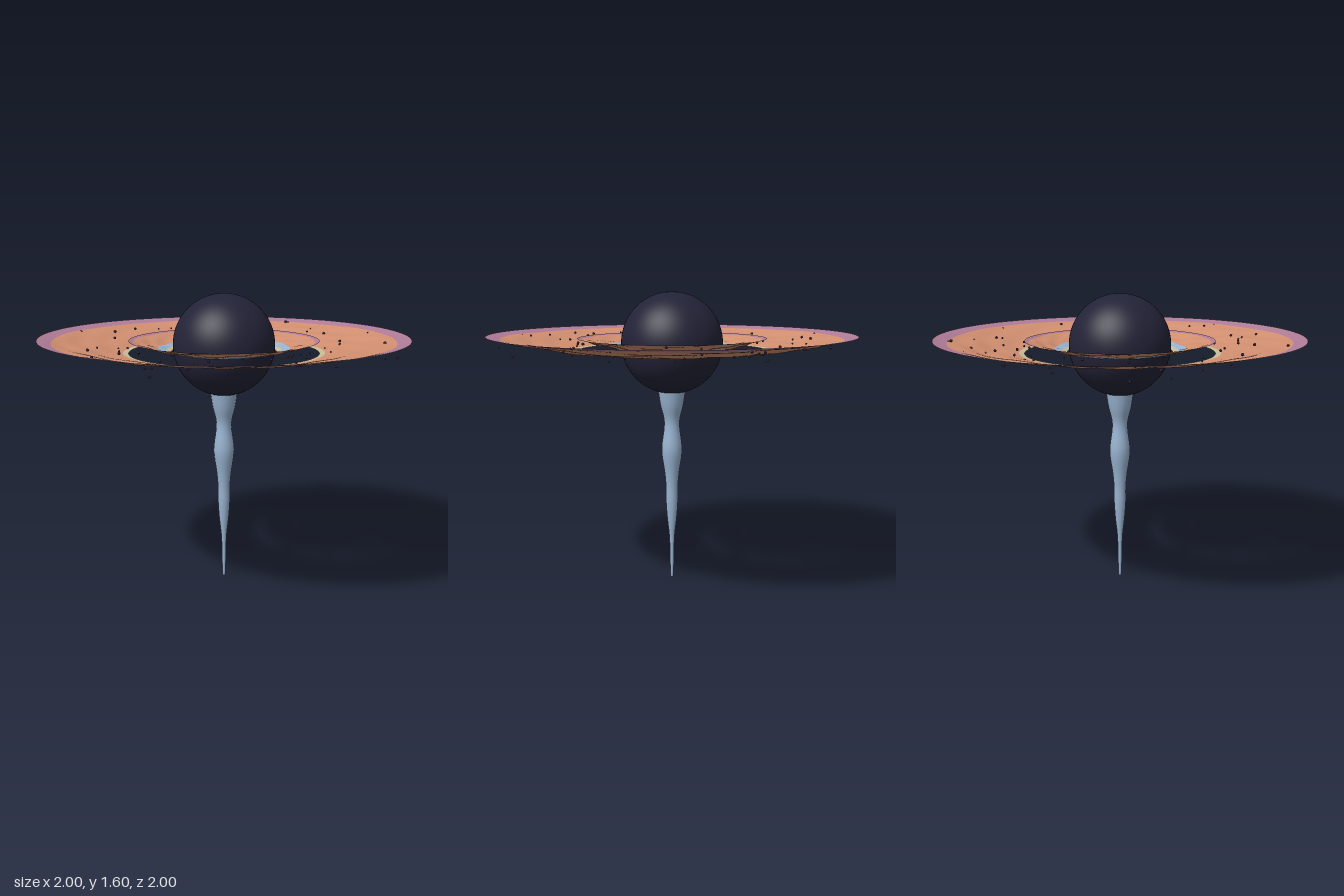
import * as THREE from 'three';

const mat = (name, color, side = THREE.FrontSide) => {
  const m = new THREE.MeshStandardMaterial({ color, side });
  m.name = name;
  return m;
};

export function createModel() {
  const group = new THREE.Group();
  const D = THREE.DoubleSide;
  const orange = mat('dust orange', 0xd28f70, D);
  const purple = mat('rim purple', 0xb07c98, D);
  const cream = mat('pale cream', 0xc8bc98, D);
  const blue = mat('steel blue', 0x98b3d0, D);
  const navy = mat('dark navy', 0x232338);
  const plum = mat('dark plum', 0x4c3450);

  const add = (name, geometry, material) => {
    const mesh = new THREE.Mesh(geometry, material);
    mesh.name = name;
    group.add(mesh);
    return mesh;
  };

  // One band of a disc, lifted to height(r, angle)
  const band = (name, r0, r1, rows, material, height) => {
    const g = new THREE.RingGeometry(r0, r1, 128, rows).rotateX(-Math.PI / 2);
    const p = g.attributes.position;
    for (let i = 0; i < p.count; i++) {
      const x = p.getX(i), z = p.getZ(i);
      p.setY(i, height(Math.hypot(x, z), Math.atan2(z, x)));
    }
    g.computeVertexNormals();
    return add(name, g, material);
  };

  // Shallow dishes with swirling ripples that fade at both edges
  const dish = (r0, r1, y0, y1, power, ripple) => (r, a) => {
    const t = THREE.MathUtils.clamp((r - r0) / (r1 - r0), 0, 1);
    return y0 + (y1 - y0) * Math.pow(t, power) + Math.sin(Math.PI * t) * ripple(r, a);
  };
  const outer = dish(0.515, 1, 1.283, 1.367, 1.2, (r, a) =>
    0.004 * Math.sin(5 * a + 22 * r) + 0.002 * Math.sin(11 * a - 37 * r));
  const inner = dish(0.285, 0.515, 1.288, 1.35, 1, (r, a) =>
    0.004 * Math.sin(7 * a + 40 * r) + 0.002 * Math.sin(13 * a - 60 * r));

  // Outer disc
  band('outerDiscInnerEdge', 0.515, 0.545, 2, cream, outer);
  band('outerDisc', 0.545, 0.925, 28, orange, outer);
  band('outerDiscRim', 0.925, 1, 4, purple, outer);

  // Inner disc
  band('innerDiscCreamRing', 0.285, 0.313, 2, cream, inner);
  band('innerDiscBlueRing', 0.313, 0.358, 2, blue, inner);
  band('innerDisc', 0.358, 0.492, 14, orange, inner);
  band('innerDiscRim', 0.492, 0.515, 2, purple, inner);

  // Central sphere
  add('core', new THREE.SphereGeometry(0.277, 64, 40), navy).position.y = 1.324;

  // Tapering, bulging stem below the sphere
  const profile = [[0.008, 0], [0.011, 0.1], [0.014, 0.23], [0.026, 0.34],
    [0.033, 0.44], [0.033, 0.52], [0.041, 0.61], [0.055, 0.7], [0.056, 0.76],
    [0.044, 0.85], [0.045, 0.91], [0.063, 0.98], [0.075, 1.06]];
  const curve = new THREE.SplineCurve(profile.map(([r, y]) => new THREE.Vector2(r, y)));
  add('stem', new THREE.LatheGeometry([new THREE.Vector2(0, 0), ...curve.getPoints(36)], 16), blue);

  // Small debris scattered around the outer disc
  let seed = 7;
  const rand = () => (seed = (seed * 16807) % 2147483647) / 2147483647;
  const debris = new THREE.Group();
  debris.name = 'debris';
  const chip = new THREE.IcosahedronGeometry(1, 0);
  for (let i = 0; i < 90; i++) {
    const a = rand() * Math.PI * 2, r = 0.5 + 0.47 * rand();
    const m = new THREE.Mesh(chip, plum);
    m.name = 'debrisChip';
    m.position.set(r * Math.cos(a), 1.285 + 0.07 * rand(), r * Math.sin(a));
    m.scale.setScalar(0.005 + 0.004 * rand());
    m.rotation.set(rand() * 6, rand() * 6, 0);
    debris.add(m);
  }
  group.add(debris);
  return group;
}
